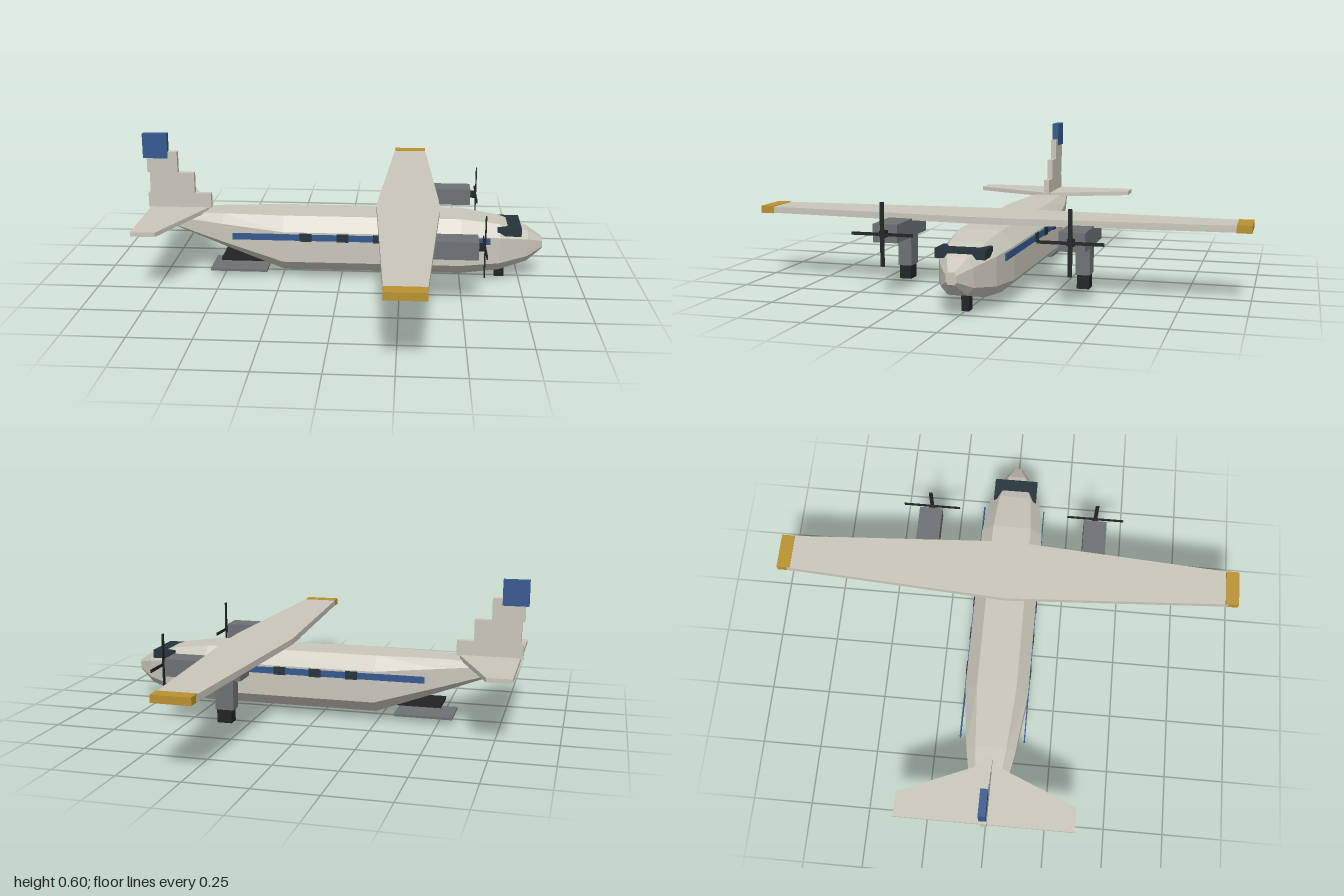
import * as THREE from 'three';

const mat = (color) => new THREE.MeshStandardMaterial({ color, flatShading: true });

export function createModel() {
  const model = new THREE.Group();
  const body = mat(0xc9c6ba), blue = mat(0x34588f), gold = mat(0xba9230);
  const grey = mat(0x6d7174), glass = mat(0x26333c), black = mat(0x202224);

  function add(name, geometry, material) {
    const mesh = new THREE.Mesh(geometry, material);
    mesh.name = name;
    model.add(mesh);
    return mesh;
  }
  // Box given by its limits on each axis
  function box(name, material, [x0, x1], [y0, y1], [z0, z1]) {
    const g = new THREE.BoxGeometry(x1 - x0, y1 - y0, z1 - z0);
    g.translate((x0 + x1) / 2, (y0 + y1) / 2, (z0 + z1) / 2);
    return add(name, g, material);
  }
  // Flat plate from a plan outline in x and z
  function plate(name, material, outline, y0, y1) {
    const shape = new THREE.Shape(outline.map(([x, z]) => new THREE.Vector2(x, -z)));
    const g = new THREE.ExtrudeGeometry(shape, { depth: y1 - y0, bevelEnabled: false });
    g.rotateX(-Math.PI / 2).translate(0, y0, 0);
    return add(name, g, material);
  }

  // Fuselage: octagonal sections [x, bottom, top, half width]
  const sections = [
    [-0.76, 0.222, 0.262, 0.055], [-0.5, 0.128, 0.27, 0.103], [-0.24, 0.035, 0.272, 0.134],
    [0.5, 0.035, 0.272, 0.134], [0.66, 0.05, 0.25, 0.11],
    [0.78, 0.082, 0.215, 0.062], [0.845, 0.13, 0.175, 0.02],
  ];
  const rings = sections.map(([x, lo, hi, w]) => {
    const h = hi - lo, a = lo + 0.21 * h, b = hi - 0.24 * h, f = 0.62 * w;
    return [[a, w], [b, w], [hi, f], [hi, -f], [b, -w], [a, -w], [lo, -f], [lo, f]]
      .map(([y, z]) => [x, y, z]);
  });
  const pos = [];
  const last = rings[rings.length - 1];
  for (let i = 0; i < 8; i++) {
    const j = (i + 1) % 8;
    for (let s = 0; s < rings.length - 1; s++) {
      const p = rings[s], q = rings[s + 1];
      pos.push(...p[i], ...q[i], ...p[j], ...q[i], ...q[j], ...p[j]);
    }
    if (i > 0 && i < 7) {
      pos.push(...rings[0][0], ...rings[0][i], ...rings[0][j]);
      pos.push(...last[0], ...last[j], ...last[i]);
    }
  }
  const hull = new THREE.BufferGeometry();
  hull.setAttribute('position', new THREE.Float32BufferAttribute(pos, 3));
  hull.computeVertexNormals();
  add('fuselage', hull, body);

  box('windshield', glass, [0.65, 0.75], [0.205, 0.24], [-0.095, 0.095]);

  // Wing
  plate('wing', body, [
    [0.145, 0], [0.205, 0.99], [0.353, 0.99], [0.41, 0.06],
    [0.41, -0.06], [0.353, -0.99], [0.205, -0.99],
  ], 0.278, 0.304);

  // Parts on both sides
  for (const s of [1, -1]) {
    const side = s > 0 ? 'right' : 'left';
    const span = (a, b) => (s > 0 ? [a, b] : [-b, -a]);
    const label = (part) => side + part;

    box(label('WingTip'), gold, [0.203, 0.356], [0.276, 0.306], span(0.943, 1));
    box(label('Stripe'), blue, [-0.45, 0.62], [0.18, 0.207], span(0.132, 0.137));
    for (const x of [-0.145, 0.01, 0.162]) {
      box(label('Window'), glass, [x - 0.025, x + 0.025], [0.177, 0.211], span(0.13, 0.139));
    }

    // Engine, propeller and main gear
    const c = 0.366;
    box(label('Nacelle'), grey, [0.235, 0.556], [0.213, 0.285], span(c - 0.05, c + 0.05));
    box(label('Spinner'), black, [0.556, 0.58], [0.237, 0.263], span(c - 0.013, c + 0.013));
    box(label('PropellerUpright'), black, [0.58, 0.585], [0.125, 0.375], span(c - 0.008, c + 0.008));
    box(label('PropellerLevel'), black, [0.58, 0.585], [0.244, 0.256], span(c - 0.125, c + 0.125));
    box(label('GearLeg'), grey, [0.275, 0.351], [0.085, 0.22], span(c - 0.028, c + 0.028));
    box(label('MainWheel'), black, [0.285, 0.346], [0.03, 0.09], span(c - 0.024, c + 0.024));
  }
  box('noseWheel', black, [0.65, 0.69], [0, 0.06], [-0.015, 0.015]);

  // Tailplane and stepped fin
  plate('tailplane', body, [
    [-0.82, 0.366], [-0.72, 0.366], [-0.575, 0.02],
    [-0.575, -0.02], [-0.72, -0.366], [-0.82, -0.366],
  ], 0.261, 0.279);
  for (const [x0, x1, y0, y1] of [
    [-0.83, -0.56, 0.275, 0.34], [-0.82, -0.63, 0.34, 0.43], [-0.83, -0.7, 0.43, 0.52],
  ]) box('finStep', body, [x0, x1], [y0, y1], [-0.0125, 0.0125]);
  box('finTop', blue, [-0.845, -0.74], [0.492, 0.597], [-0.0145, 0.0145]);

  // Rear cargo opening and lowered ramp
  box('cargoOpening', black, [-0.51, -0.29], [0.064, 0.076], [-0.075, 0.075]);
  box('cargoRamp', grey, [-0.558, -0.315], [0.019, 0.029], [-0.086, 0.086]);

  return model;
}
